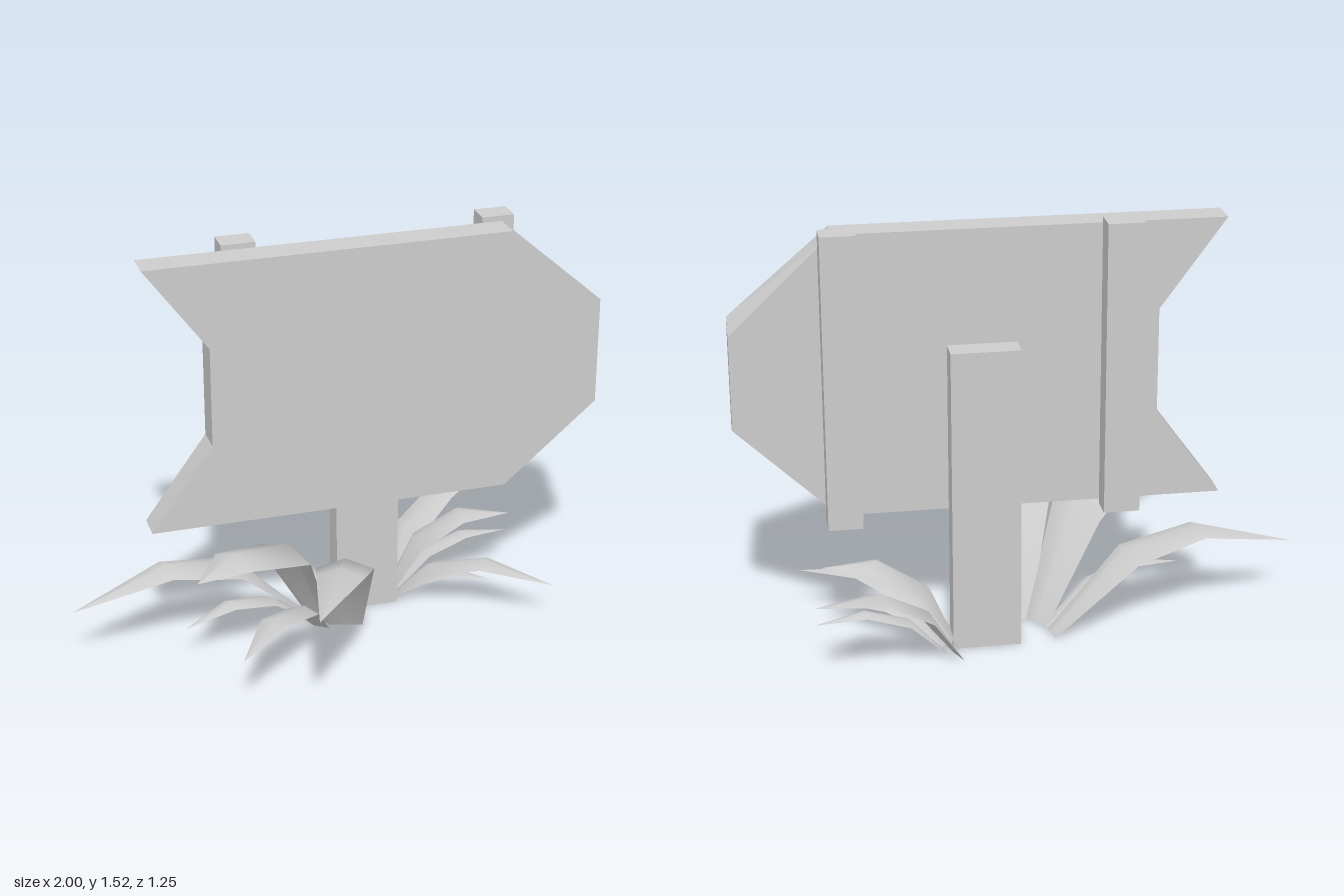
import * as THREE from 'three';

const grey = new THREE.MeshStandardMaterial({ color: 0xcccccc, side: THREE.DoubleSide });
grey.name = 'plain grey';

function add(parent, name, geometry) {
  const mesh = new THREE.Mesh(geometry, grey);
  mesh.name = name;
  parent.add(mesh);
  return mesh;
}

// Box given by its minimum and maximum corners
function beam(parent, name, [x0, y0, z0], [x1, y1, z1]) {
  const mesh = add(parent, name, new THREE.BoxGeometry(x1 - x0, y1 - y0, z1 - z0));
  mesh.position.set((x0 + x1) / 2, (y0 + y1) / 2, (z0 + z1) / 2);
}

// Arching blade: ridged cross-sections along a spine, ending in a point
function bladeGeometry(spine, widths) {
  const pts = spine.map((p) => new THREE.Vector3(...p));
  const positions = [];
  const index = [];
  pts.forEach((p, i) => {
    const a = pts[Math.max(i - 1, 0)];
    const b = pts[Math.min(i + 1, pts.length - 1)];
    const along = b.clone().sub(a).normalize();
    const side = new THREE.Vector3(along.z, 0, -along.x).normalize();
    const up = along.clone().cross(side).normalize();
    const w = widths[i] / 2;
    for (const s of [-1, 0, 1]) {
      const v = p.clone().addScaledVector(side, s * w);
      if (s !== 0 && i > 0) v.addScaledVector(up, -w * 0.35);
      positions.push(v.x, Math.max(v.y, 0), v.z);
    }
    if (i === 0) return;
    for (const k of [0, 1]) {
      const c = (i - 1) * 3 + k;
      index.push(c, c + 1, c + 3);
      if (i < pts.length - 1) index.push(c + 1, c + 4, c + 3);
      else index.push(c + 1, c + 4, c + 3);
    }
  });
  const g = new THREE.BufferGeometry();
  g.setAttribute('position', new THREE.Float32BufferAttribute(positions, 3));
  g.setIndex(index);
  g.computeVertexNormals();
  return g;
}

function clump(parent, name, blades) {
  const group = new THREE.Group();
  group.name = name;
  blades.forEach(([spine, widths]) => add(group, 'grassBlade', bladeGeometry(spine, [...widths, 0])));
  parent.add(group);
}

export function createModel() {
  const model = new THREE.Group();
  model.name = 'arrowSign';

  // Arrow board with a notched tail; its blunt tip narrows toward the back
  const outline = [[-0.69, 0.5], [0.65, 0.5], [1, 0.8], [1, 1.205], [0.65, 1.505],
    [-0.69, 1.505], [-0.46, 1.19], [-0.46, 0.815]];
  const shape = new THREE.Shape(outline.map(([x, y]) => new THREE.Vector2(x, y)));
  const board = new THREE.ExtrudeGeometry(shape, { depth: 0.11, bevelEnabled: false });
  board.translate(0, 0, -0.26);
  const pos = board.attributes.position;
  for (let i = 0; i < pos.count; i++) {
    if (pos.getX(i) > 0.99 && pos.getZ(i) < -0.2) {
      pos.setY(i, pos.getY(i) > 1 ? 1.17 : 0.835);
    }
  }
  board.computeVertexNormals();
  add(model, 'arrowBoard', board);

  // Post and back battens
  beam(model, 'post', [0.03, 0, -0.35], [0.27, 1.1, -0.26]);
  beam(model, 'rightBatten', [-0.385, 0.485, -0.35], [-0.26, 1.525, -0.26]);
  beam(model, 'leftBatten', [0.575, 0.485, -0.35], [0.695, 1.525, -0.26]);

  // Grass on either side of the post
  clump(model, 'rightGrass', [
    [[[-0.09, 0, -0.29], [-0.36, 0.29, -0.24], [-0.64, 0.345, -0.19], [-1, 0.23, -0.14]], [0.08, 0.19, 0.15]],
    [[[-0.08, 0, -0.24], [-0.25, 0.15, -0.18], [-0.42, 0.19, -0.12], [-0.6, 0.14, -0.06]], [0.05, 0.09, 0.08]],
    [[[-0.05, 0, -0.2], [-0.21, 0.43, -0.06], [-0.45, 0.505, 0.09], [-0.6, 0.45, 0.165]], [0.1, 0.25, 0.19]],
    [[[-0.06, 0, -0.16], [-0.17, 0.2, 0], [-0.33, 0.275, 0.18], [-0.49, 0.23, 0.36]], [0.06, 0.12, 0.11]],
    [[[0.03, 0, -0.15], [-0.03, 0.4, 0.05], [-0.12, 0.5, 0.29], [-0.29, 0.5, 0.62]], [0.13, 0.21, 0.17]],
  ]);
  clump(model, 'leftGrass', [
    [[[0.26, 0, -0.41], [0.37, 0.21, -0.46], [0.53, 0.32, -0.53], [0.77, 0.335, -0.63]], [0.07, 0.15, 0.13]],
    [[[0.3, 0, -0.37], [0.42, 0.14, -0.38], [0.58, 0.19, -0.39], [0.76, 0.16, -0.41]], [0.04, 0.08, 0.07]],
    [[[0.26, 0, -0.3], [0.38, 0.16, -0.23], [0.56, 0.22, -0.1], [0.78, 0.155, 0.05]], [0.06, 0.13, 0.11]],
    [[[0.25, 0, -0.33], [0.35, 0.23, -0.32], [0.53, 0.335, -0.3], [0.72, 0.31, -0.27]], [0.07, 0.15, 0.13]],
    [[[0.3, 0, -0.32], [0.38, 0.085, -0.27], [0.48, 0.125, -0.22], [0.6, 0.1, -0.16]], [0.04, 0.08, 0.07]],
  ]);

  return model;
}
